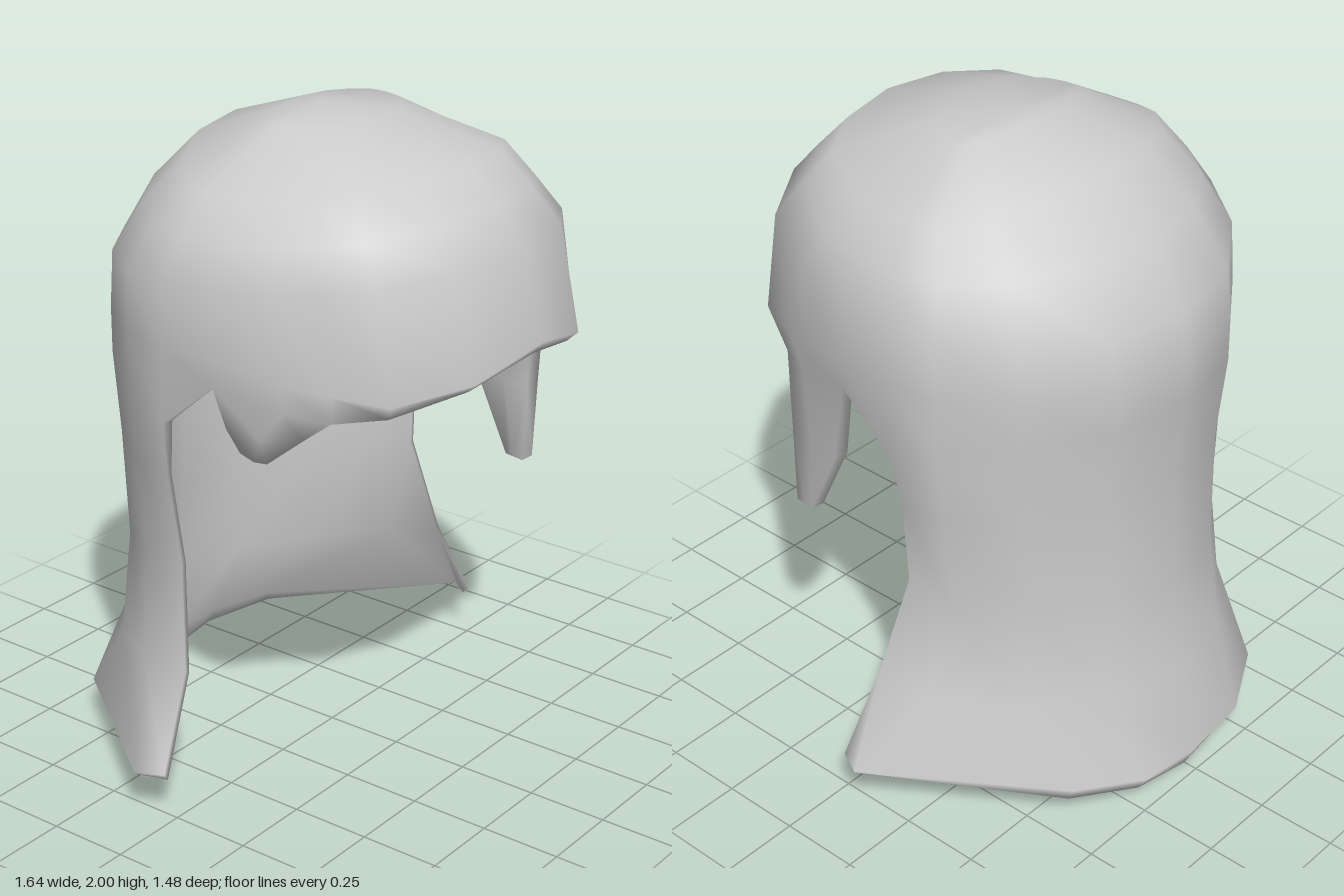
import * as THREE from 'three';

const lerp = THREE.MathUtils.lerp;
const SKIN = 0.035;
const GUARD_SKIN = 0.045;

// Plan of the half dome at its widest, from front centre round to back centre:
// x, z, height of the last full ring, height of the rim, inward scale of the rim
const PLAN = [
  [0, 0.74, 1.44, 1.4, 0.955], [0.26, 0.69, 1.38, 1.35, 0.955], [0.46, 0.55, 1.34, 1.3, 0.97],
  [0.53, 0.4, 1.36, 1.28, 1], [0.59, 0.28, 1.38, 1.3, 1], [0.635, 0.07, 1.42, 1.34, 1],
  [0.64, -0.11, 1.42, 1.19, 1], [0.61, -0.26, 1.42, 1.24, 1], [0.47, -0.45, 1.42, 1.28, 1],
  [0.26, -0.6, 1.42, 1.29, 1], [0, -0.65, 1.42, 1.29, 1],
];
// Dome rings: scale of x, of front z, of back z, then height at side, front and back
const DOME = [
  [0.39, 0.23, 0.17, 1.98, 1.99, 2],
  [0.77, 0.65, 0.55, 1.84, 1.9, 1.92],
  [0.89, 0.78, 0.8, 1.73, 1.8, 1.76],
  [1, 0.9, 0.97, 1.62, 1.7, 1.57],
];
const FULL_ROWS = DOME.length + 2;
// Neck rings: half width, side z, back z, side y, back y
const NECK = [
  [0.61, -0.125, -0.62, 1.02, 1.03],
  [0.575, -0.11, -0.635, 0.73, 0.65],
  [0.64, -0.05, -0.67, 0.42, 0.34],
];
// Neck columns from front edge to back centre: share of width, share of depth, thickness
const NECK_COLUMNS = [[1, 0, 0.015], [0.97, 0.28, 0.04], [0.74, 0.64, 0.065], [0.41, 0.91, 0.045], [0, 1, 0.035]];
// Flared bottom edge of the neck guard: x, y, z
const FLARE = [[0.78, 0.15, -0.02], [0.82, 0.15, -0.1], [0.43, 0.12, -0.62], [0.22, 0.09, -0.73], [0, 0.07, -0.74]];
// Cheek guards below the rim, middle row then tip row
const LONG_GUARD = [
  [[0.55, 1.06, 0.375], [0.58, 1.04, 0.27], [0.59, 1.04, 0.16]],
  [[0.57, 0.8, 0.35], [0.575, 0.8, 0.315], [0.58, 0.8, 0.28]],
];
const SHORT_GUARD = [
  [[0.54, 1.21, 0.31], [0.59, 1.2, 0.2], [0.615, 1.22, 0.1]],
  [[0.56, 1.12, 0.2], [0.57, 1.12, 0.16], [0.58, 1.14, 0.12]],
];

// Points [x, y, z, thickness, lift of the inner skin] of one column from crown to lower edge
function column(i, guard) {
  const [px, pz, ringY, rimY, rimScale] = PLAN[i];
  const w = (pz / (pz > 0 ? 0.74 : 0.65)) ** 2;
  const pts = DOME.map(([sx, sf, sb, ys, yf, yb]) =>
    [px * sx, lerp(ys, pz > 0 ? yf : yb, w), pz * (pz > 0 ? sf : sb), SKIN, 0]);
  pts.push([px, ringY, pz, SKIN, 0], [px * rimScale, rimY, pz * rimScale, SKIN, 0]);
  if (i >= 3 && i <= 5) guard.forEach((row) => pts.push([...row[i - 3], GUARD_SKIN, 0]));
  if (i >= 6) {
    const [sx, sz, t] = NECK_COLUMNS[i - 6];
    NECK.forEach(([X, zs, zb, ys, yb]) => pts.push([X * sx, lerp(ys, yb, sz), lerp(zs, zb, sz), t, 0]));
    // The flare thickens towards the back and ends in a thin turned-under lip
    const [x, y, z] = FLARE[i - 6];
    const back = (z / 0.74) ** 2;
    pts.push([x, y, z, 0.02 + 0.09 * back, 0.14 - y]);
    pts.push([x * 0.98, 0.165 * x, z + 0.035 * back, 0.015, 0]);
  }
  return pts;
}

// Gives an open surface an inner skin and closes the edge between them
function thicken(points, index) {
  const positions = points.flatMap(([x, y, z]) => [x, y, z]);
  const outer = new THREE.BufferGeometry();
  outer.setAttribute('position', new THREE.Float32BufferAttribute(positions, 3));
  outer.setIndex(index);
  outer.computeVertexNormals();
  const n = outer.attributes.normal;
  const count = points.length;
  const inner = points.flatMap(([x, y, z, t, lift], i) =>
    [x - n.getX(i) * t, y - n.getY(i) * t + lift, z - n.getZ(i) * t]);
  const faces = [...index];
  const edges = new Set();
  for (let f = 0; f < index.length; f += 3) {
    const tri = index.slice(f, f + 3);
    faces.push(tri[0] + count, tri[2] + count, tri[1] + count);
    tri.forEach((a, k) => edges.add(`${a},${tri[(k + 1) % 3]}`));
  }
  for (const key of edges) {
    const [a, b] = key.split(',').map(Number);
    if (!edges.has(`${b},${a}`)) faces.push(a, a + count, b, b, a + count, b + count);
  }
  const shell = new THREE.BufferGeometry();
  shell.setAttribute('position', new THREE.Float32BufferAttribute([...positions, ...inner], 3));
  shell.setIndex(faces);
  shell.computeVertexNormals();
  return shell;
}

export function createModel() {
  const group = new THREE.Group();
  group.name = 'helmet';

  // Columns all round: front, left side, back, then the mirrored right side
  const columns = [];
  for (let i = 0; i <= 10; i++) columns.push(column(i, LONG_GUARD));
  for (let i = 9; i >= 1; i--) columns.push(column(i, SHORT_GUARD).map(([x, ...rest]) => [-x, ...rest]));

  // Crown point, then every column in turn
  const points = [[0, 2, -0.03, SKIN, 0]];
  const starts = columns.map((col) => points.push(...col) - col.length);

  // Join neighbouring columns as far down as both reach, leaving the ear openings
  const index = [];
  const isNeck = (j) => j >= 6 && j <= 14;
  columns.forEach((col, j) => {
    const k = (j + 1) % columns.length;
    const a = starts[j], b = starts[k];
    index.push(0, a, b);
    const rows = isNeck(j) === isNeck(k) ? Math.min(col.length, columns[k].length) : FULL_ROWS;
    for (let r = 0; r < rows - 1; r++) {
      index.push(a + r, a + r + 1, b + r + 1, a + r, b + r + 1, b + r);
    }
  });

  // Dome, cheek guards and neck guard in one smooth shell
  const material = new THREE.MeshStandardMaterial({ color: 0xcccccc, side: THREE.DoubleSide });
  const shell = new THREE.Mesh(thicken(points, index), material);
  shell.name = 'helmetShell';
  group.add(shell);
  return group;
}
